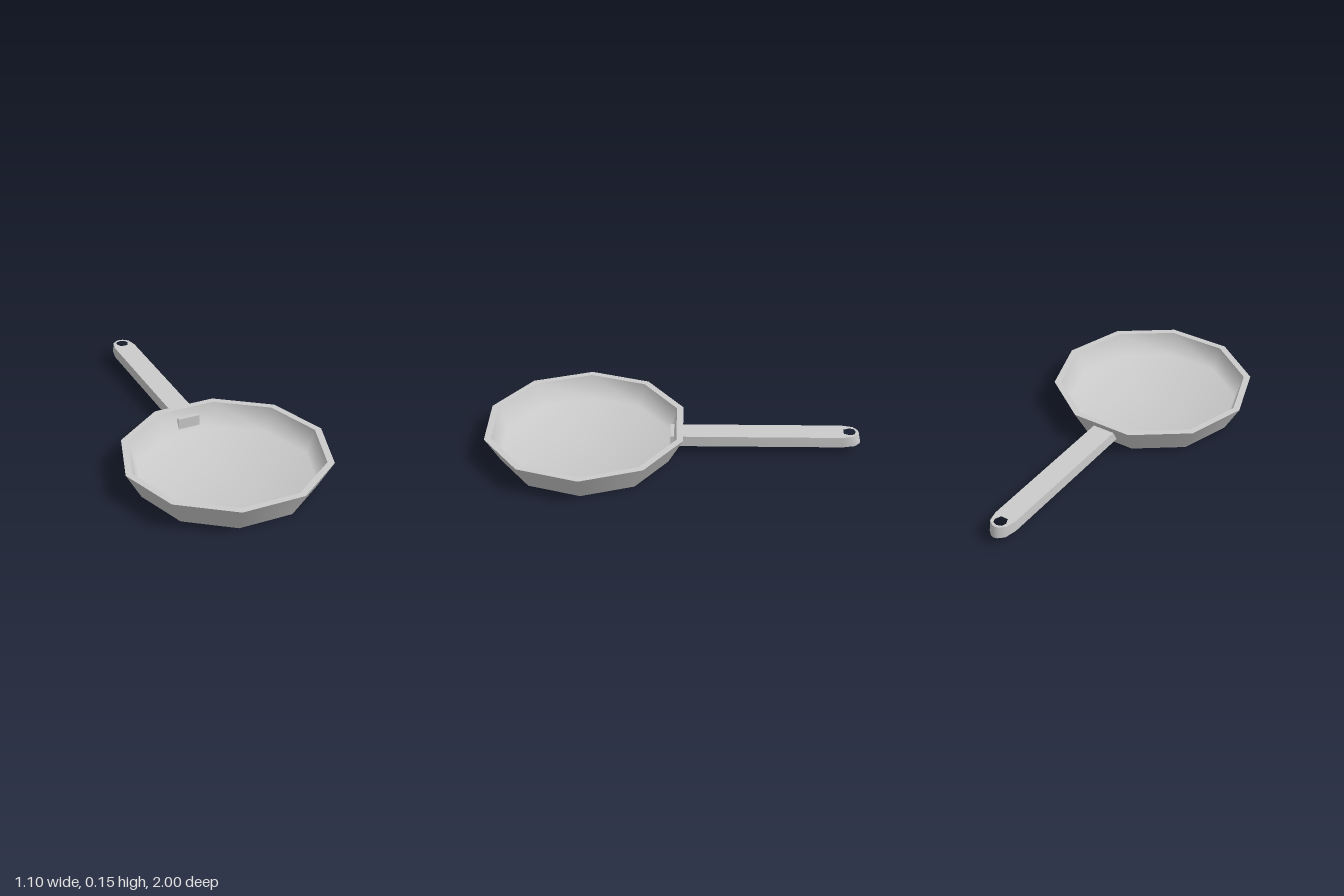
import * as THREE from 'three';
import { toCreasedNormals } from 'three/addons/utils/BufferGeometryUtils.js';

const grey = new THREE.MeshStandardMaterial({ color: 0xcccccc });
const SIDES = 10;
const PAN_Z = 0.477;
const RIM_Y = 0.147, FLOOR_Y = 0.018;

// Ten-sided ring of surface swept from a [radius, height] profile
function panSurface(name, profile) {
  const points = profile.map(([r, y]) => new THREE.Vector2(r, y));
  const geometry = new THREE.LatheGeometry(points, SIDES, Math.PI / SIDES);
  const mesh = new THREE.Mesh(geometry, grey);
  mesh.name = name;
  return mesh;
}

// Closed outline from its right half, mirrored across x = 0
function mirrored(half) {
  const left = half.filter(([x]) => x > 0).reverse().map(([x, z]) => [-x, z]);
  return [...half, ...left].map(([x, z]) => new THREE.Vector2(x, z));
}

function createHandle() {
  const top = 0.105, height = 0.06, tipStart = -0.895;
  const shape = new THREE.Shape(mirrored([
    [0.062, 0.022], [0.062, -0.9], [0.048, -0.968], [0.02, -0.994], [0, -1],
  ]));
  shape.holes.push(new THREE.Path(mirrored([
    [0.02, -0.908], [0.034, -0.945], [0.026, -0.972], [0, -0.983],
  ])));
  const geometry = new THREE.ExtrudeGeometry(shape, { depth: height, bevelEnabled: false });
  geometry.rotateX(Math.PI / 2).translate(0, top, 0);

  // Lean the tip: its upper edge sits slightly closer to the pan
  const p = geometry.attributes.position;
  for (let i = 0; i < p.count; i++) {
    if (p.getZ(i) < tipStart && p.getY(i) > top - height / 2) {
      const t = (tipStart - p.getZ(i)) / (1 + tipStart);
      p.setZ(i, p.getZ(i) + 0.013 * t);
    }
  }
  const mesh = new THREE.Mesh(toCreasedNormals(geometry, 0.9), grey);
  mesh.name = 'handle';
  return mesh;
}

export function createModel() {
  const model = new THREE.Group();
  model.name = 'fryingPan';

  // Pan body: sharp outer edges, with the floor blending into the inner wall
  const body = new THREE.Group();
  body.name = 'panBody';
  body.position.z = PAN_Z;
  body.add(
    panSurface('base', [[0, 0], [0.468, 0]]),
    panSurface('outerWall', [[0.468, 0], [0.55, RIM_Y]]),
    panSurface('rim', [[0.55, RIM_Y], [0.513, RIM_Y]]),
    panSurface('innerBowl', [[0.513, RIM_Y], [0.47, FLOOR_Y], [0, FLOOR_Y]]),
  );

  // The handle runs through the back wall and shows as a small tab inside
  model.add(body, createHandle());
  return model;
}
